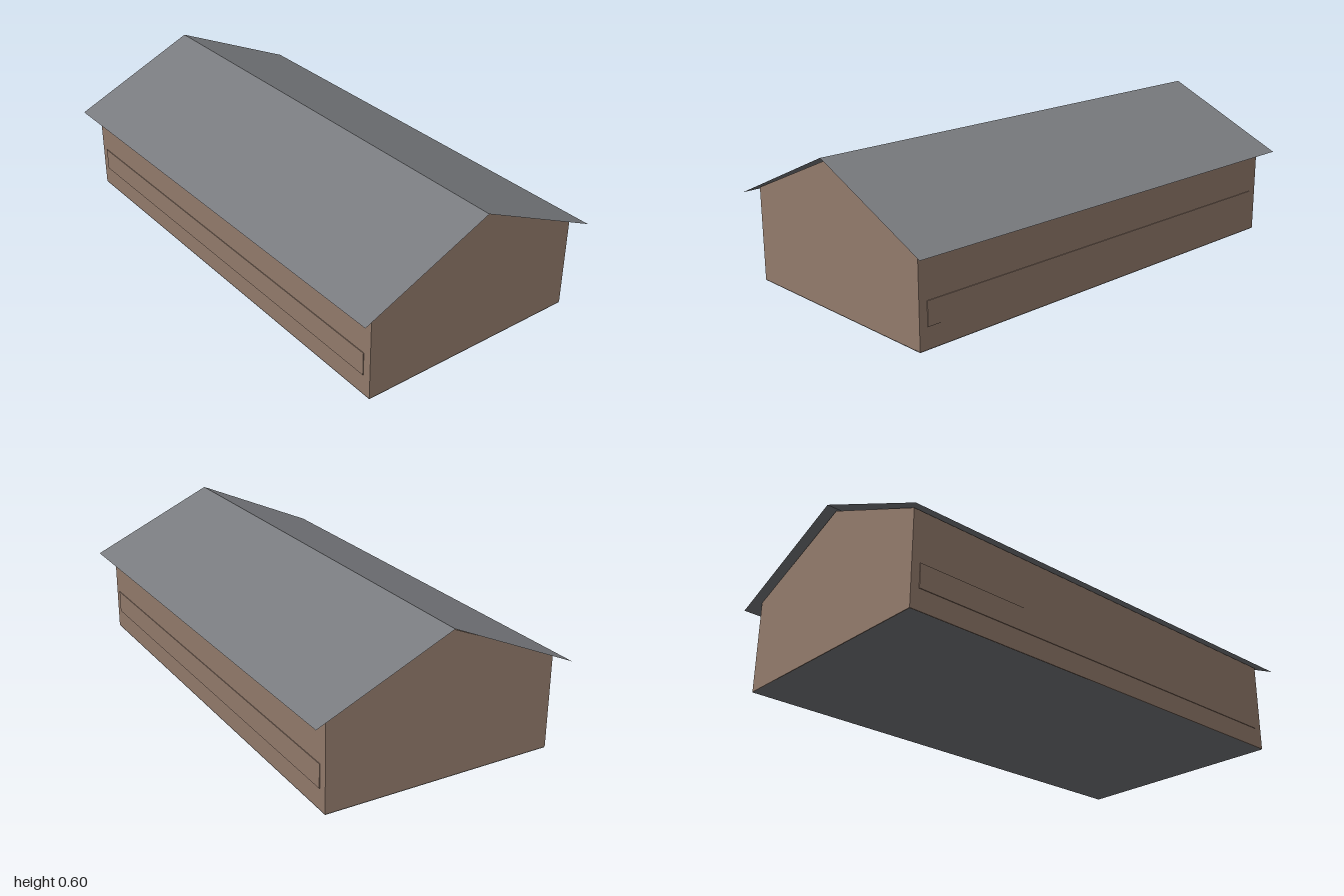
import * as THREE from 'three';

const wallMat = new THREE.MeshStandardMaterial({ name: 'brownWall', color: 0x937b6c });
const roofMat = new THREE.MeshStandardMaterial({ name: 'greyRoof', color: 0x797b7f, side: THREE.DoubleSide });

const HALF_LENGTH = 0.96, HALF_DEPTH = 0.48;
const ROOF_HALF_LENGTH = 1, EAVE_Z = 0.54, EAVE_Y = 0.357, RIDGE_Y = 0.598;

export function createModel() {
  const model = new THREE.Group();
  model.name = 'gabledBarn';

  const add = (name, geometry, material) => {
    const mesh = new THREE.Mesh(geometry, material);
    mesh.name = name;
    model.add(mesh);
    return mesh;
  };

  // Gabled body: pentagonal end profile run along x
  const profile = new THREE.Shape([
    new THREE.Vector2(-HALF_DEPTH, 0.002),
    new THREE.Vector2(HALF_DEPTH, 0.002),
    new THREE.Vector2(HALF_DEPTH, 0.382),
    new THREE.Vector2(0, 0.588),
    new THREE.Vector2(-HALF_DEPTH, 0.382),
  ]);
  const body = new THREE.ExtrudeGeometry(profile, { depth: 2 * HALF_LENGTH, bevelEnabled: false });
  body.translate(0, 0, -HALF_LENGTH);
  body.rotateY(Math.PI / 2);
  add('walls', body, wallMat);

  // Floor slab face
  const floor = new THREE.PlaneGeometry(2 * HALF_LENGTH, 2 * HALF_DEPTH);
  floor.rotateX(Math.PI / 2);
  add('floor', floor, roofMat);

  for (const side of [1, -1]) {
    const label = side > 0 ? 'front' : 'back';

    // Thin roof sheet from ridge to overhanging eave
    const rise = RIDGE_Y - EAVE_Y;
    const slope = new THREE.PlaneGeometry(2 * ROOF_HALF_LENGTH, Math.hypot(EAVE_Z, rise));
    slope.rotateX(-Math.atan2(EAVE_Z, rise));
    slope.translate(0, (RIDGE_Y + EAVE_Y) / 2, EAVE_Z / 2);
    if (side < 0) slope.rotateY(Math.PI);
    add(label + 'RoofSlope', slope, roofMat);

    // Shallow cladding band along the long wall
    const band = add(label + 'WallBand', new THREE.BoxGeometry(1.85, 0.095, 0.006), wallMat);
    band.position.set(0, 0.133, side * 0.48);
  }

  return model;
}
